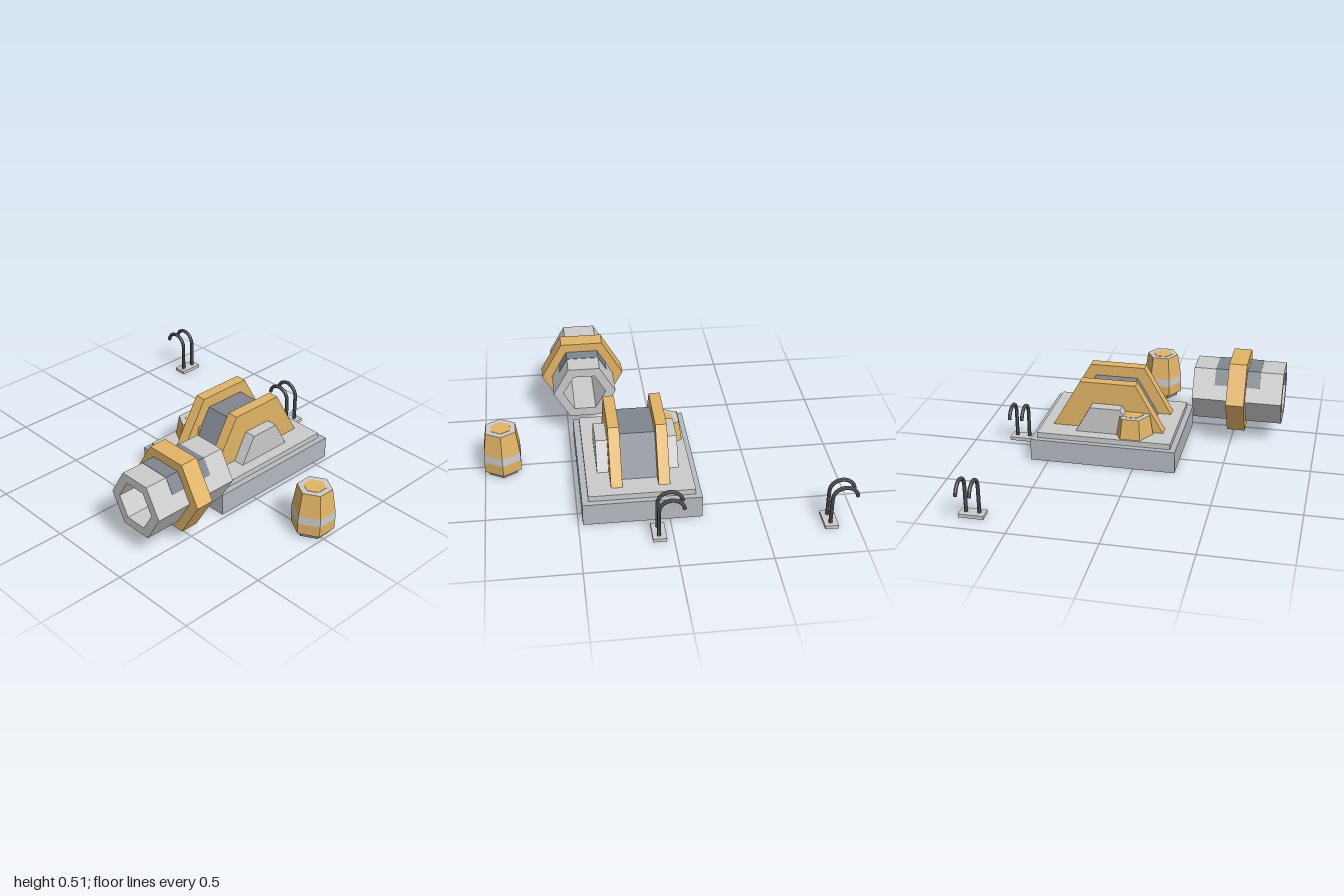
import * as THREE from 'three';

const paint = (color) => new THREE.MeshStandardMaterial({ color, flatShading: true });
const LIGHT = paint(0xcccccc);
const GREY = paint(0xb6bbc2);
const MID = paint(0x80868e);
const DARK = paint(0x5f6268);
const GOLD = paint(0xe2b566);

function add(parent, name, geometry, material, x = 0, y = 0, z = 0) {
  const mesh = new THREE.Mesh(geometry, material);
  mesh.name = name;
  mesh.position.set(x, y, z);
  parent.add(mesh);
  return mesh;
}

// Box given by its limits on each axis
function box(parent, name, material, [x0, x1], [y0, y1], [z0, z1]) {
  return add(parent, name, new THREE.BoxGeometry(x1 - x0, y1 - y0, z1 - z0), material,
    (x0 + x1) / 2, (y0 + y1) / 2, (z0 + z1) / 2);
}

const toShape = (points) => new THREE.Shape(points.map(([x, y]) => new THREE.Vector2(x, y)));
const extrude = (shape, depth) => new THREE.ExtrudeGeometry(shape, { depth, bevelEnabled: false });

// Trapezoid in the z-y plane, extruded from x0 to x1
function trapezoid(parent, name, material, x0, x1, backLow, backHigh, frontHigh, frontLow, top) {
  const shape = toShape([[backLow, 0.16], [frontLow, 0.16], [frontHigh, top], [backHigh, top]]);
  const mesh = add(parent, name, extrude(shape, x1 - x0), material, x1);
  mesh.rotation.y = -Math.PI / 2;
}

// Hexagon corners, pointing along x
const hexagon = (r) => Array.from({ length: 6 }, (_, i) => {
  const a = i * Math.PI / 3;
  return [r * Math.cos(a), r * Math.sin(a)];
});

function hexTube(parent, name, material, outer, inner, z0, z1) {
  const shape = toShape(hexagon(outer));
  shape.holes.push(toShape(hexagon(inner)));
  add(parent, name, extrude(shape, z1 - z0), material, 0, 0, z0);
}

// Six-sided barrel made of stacked sections
function barrel(x, z) {
  const group = new THREE.Group();
  group.name = 'barrel';
  const sections = [
    ['barrelFoot', MID, 0, 0.03, 0.095, 0.095],
    ['barrelLower', GOLD, 0.028, 0.094, 0.119, 0.121],
    ['barrelBand', LIGHT, 0.094, 0.142, 0.121, 0.119],
    ['barrelUpper', GOLD, 0.142, 0.279, 0.119, 0.097],
    ['barrelRim', LIGHT, 0.27, 0.28, 0.096, 0.096],
    ['barrelLid', GOLD, 0.272, 0.282, 0.062, 0.062],
  ];
  for (const [name, mat, y0, y1, r0, r1] of sections) {
    add(group, name, new THREE.CylinderGeometry(r1, r0, y1 - y0, 6), mat, 0, (y0 + y1) / 2, 0);
  }
  group.position.set(x, 0, z);
  return group;
}

// Pair of hooked pipes on a small plate
function hookStand(x) {
  const group = new THREE.Group();
  group.name = 'hookStand';
  box(group, 'hookPlate', LIGHT, [-0.04, 0.035], [0, 0.02], [-0.795, -0.655]);
  const path = new THREE.CurvePath();
  const arc = Array.from({ length: 11 }, (_, i) => {
    const a = i / 10 * Math.PI * 0.96;
    return new THREE.Vector3(-0.069 + 0.069 * Math.cos(a), 0.175 + 0.069 * Math.sin(a), 0);
  });
  path.add(new THREE.LineCurve3(new THREE.Vector3(0, 0.01, 0), arc[0]));
  path.add(new THREE.CatmullRomCurve3(arc));
  const tube = new THREE.TubeGeometry(path, 28, 0.011, 8);
  for (const z of [-0.688, -0.762]) {
    add(group, 'hookPipe', tube, DARK, 0, 0, z);
    // Closing discs at the free end
    const end = add(group, 'hookTip', new THREE.CircleGeometry(0.011, 8), DARK, arc[10].x, arc[10].y, z);
    end.rotation.set(Math.PI / 2, -0.126, 0);
  }
  group.position.x = x;
  return group;
}

export function createModel() {
  const model = new THREE.Group();
  model.name = 'machineSet';

  // Stepped plinth
  box(model, 'plinth', GREY, [-0.178, 0.475], [0, 0.13], [-0.603, 0.243]);
  box(model, 'plinthStep', LIGHT, [-0.145, 0.44], [0.13, 0.162], [-0.57, 0.21]);

  // Middle block between two cheeks, each with an outer buttress
  trapezoid(model, 'middleBlock', MID, 0.05, 0.248, -0.435, -0.31, -0.058, 0.07, 0.38);
  for (const side of [-1, 1]) {
    const slab = (a, b) => [0.149 + side * a, 0.149 + side * b].sort((p, q) => p - q);
    trapezoid(model, 'cheek', GOLD, ...slab(0.099, 0.162), -0.508, -0.343, -0.018, 0.146, 0.446);
    trapezoid(model, 'buttress', LIGHT, ...slab(0.162, 0.227), -0.358, -0.27, -0.095, -0.008, 0.317);
  }

  // Hexagonal tube with a collar and an inlaid cover over the top
  const drum = new THREE.Group();
  drum.name = 'hexDrum';
  drum.position.set(0.397, 0.297, 0);
  hexTube(drum, 'drumTube', LIGHT, 0.183, 0.125, 0.273, 0.797);
  hexTube(drum, 'drumCollar', GOLD, 0.243, 0.18, 0.48, 0.585);
  const cover = toShape([[0.142, 0.076], [0.0925, 0.1605], [-0.0925, 0.1605], [-0.142, 0.076],
    [-0.135, 0.076], [-0.088, 0.153], [0.088, 0.153], [0.135, 0.076]]);
  add(drum, 'drumCover', extrude(cover, 0.265), MID, 0, 0, 0.4);
  model.add(drum);

  // Barrels, one sunk into the plinth corner
  model.add(barrel(0.896, -0.025), barrel(-0.033, -0.025));

  // Hooked pipes
  model.add(hookStand(-0.853), hookStand(0.08));

  return model;
}
